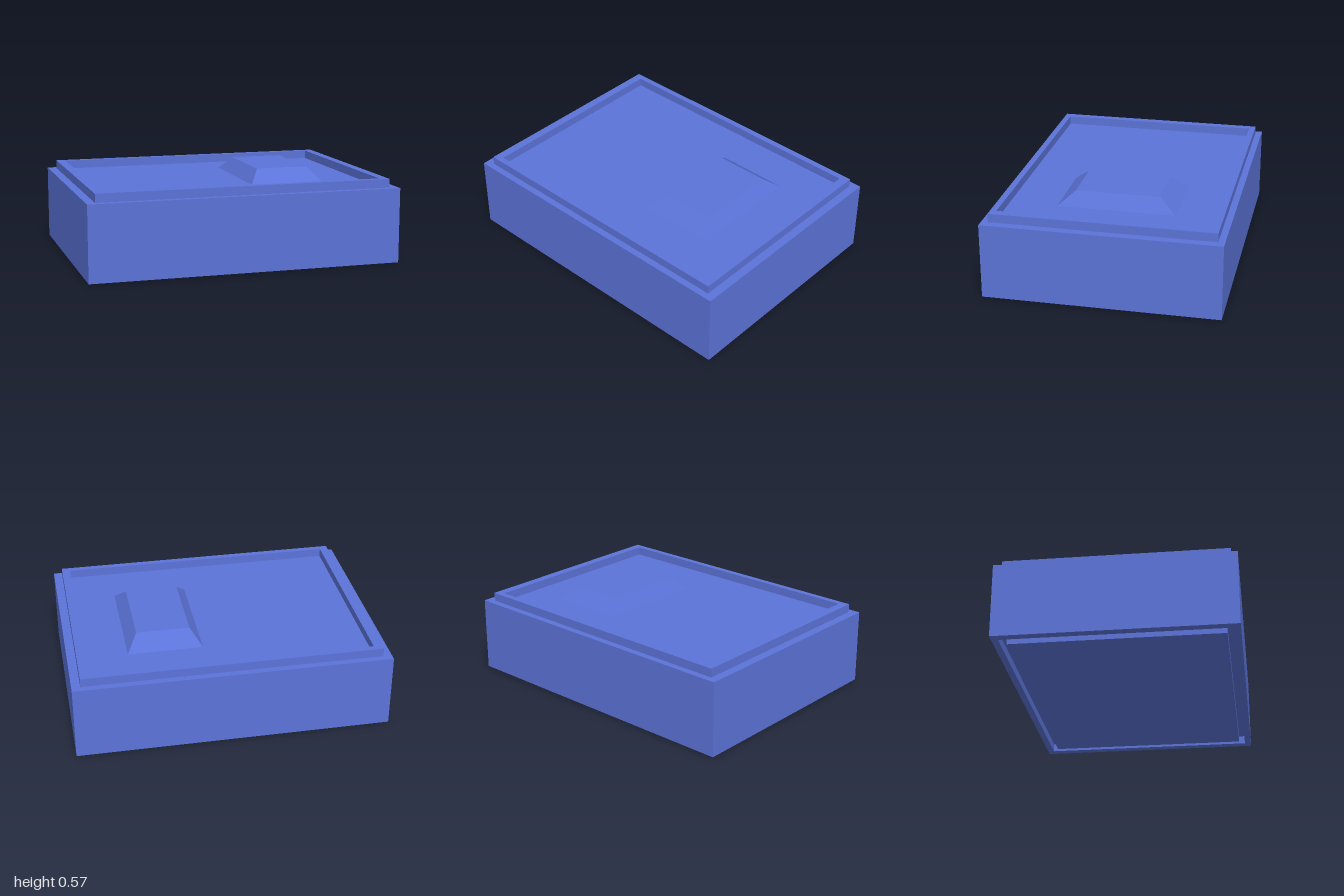
import * as THREE from 'three';

const material = new THREE.MeshStandardMaterial({ color: 0x5b73d8 });

// Rectangular outline with half sizes hx, hz
function outline(hx, hz, Type = THREE.Shape) {
  const path = new Type();
  path.moveTo(-hx, -hz);
  path.lineTo(hx, -hz);
  path.lineTo(hx, hz);
  path.lineTo(-hx, hz);
  path.closePath();
  return path;
}

// Upright rectangular ring between heights y0 and y1
function ring(outer, inner, y0, y1) {
  const shape = outline(...outer);
  shape.holes.push(outline(...inner, THREE.Path));
  return new THREE.ExtrudeGeometry(shape, { depth: y1 - y0, bevelEnabled: false })
    .rotateX(-Math.PI / 2)
    .translate(0, y0, 0);
}

// Solid block between heights y0 and y1
function slab([hx, hz], y0, y1) {
  return new THREE.BoxGeometry(hx * 2, y1 - y0, hz * 2).translate(0, (y0 + y1) / 2, 0);
}

// Block tapering from a base rectangle to a top rectangle, each [x0, x1, z0, z1]
function taperedBlock(base, top, y0, y1) {
  const geometry = new THREE.BoxGeometry(1, 1, 1);
  const p = geometry.attributes.position;
  for (let i = 0; i < p.count; i++) {
    const up = p.getY(i) > 0;
    const r = up ? top : base;
    p.setXYZ(i, r[p.getX(i) > 0 ? 1 : 0], up ? y1 : y0, r[p.getZ(i) > 0 ? 3 : 2]);
  }
  geometry.computeVertexNormals();
  return geometry;
}

export function createModel() {
  const model = new THREE.Group();
  model.name = 'stackingBlock';
  const add = (name, geometry) => {
    const mesh = new THREE.Mesh(geometry, material);
    mesh.name = name;
    model.add(mesh);
  };

  const wall = [1, 0.742];
  const lip = [0.945, 0.7];
  const inner = [0.89, 0.66];

  // Outer walls and the solid core they surround
  add('outerWall', ring(wall, lip, 0.005, 0.485));
  add('core', slab(lip, 0.06, 0.485));
  // Raised rim on top, and the plug below that leaves a matching groove
  add('topRim', ring(lip, inner, 0.485, 0.54));
  add('bottomPlug', slab(inner, 0, 0.06));
  // Off-centre bevelled pad on the tray floor
  add('bevelledPad', taperedBlock([0.143, 0.62, -0.392, 0.355], [0.211, 0.552, -0.284, 0.25], 0.485, 0.572));

  return model;
}
